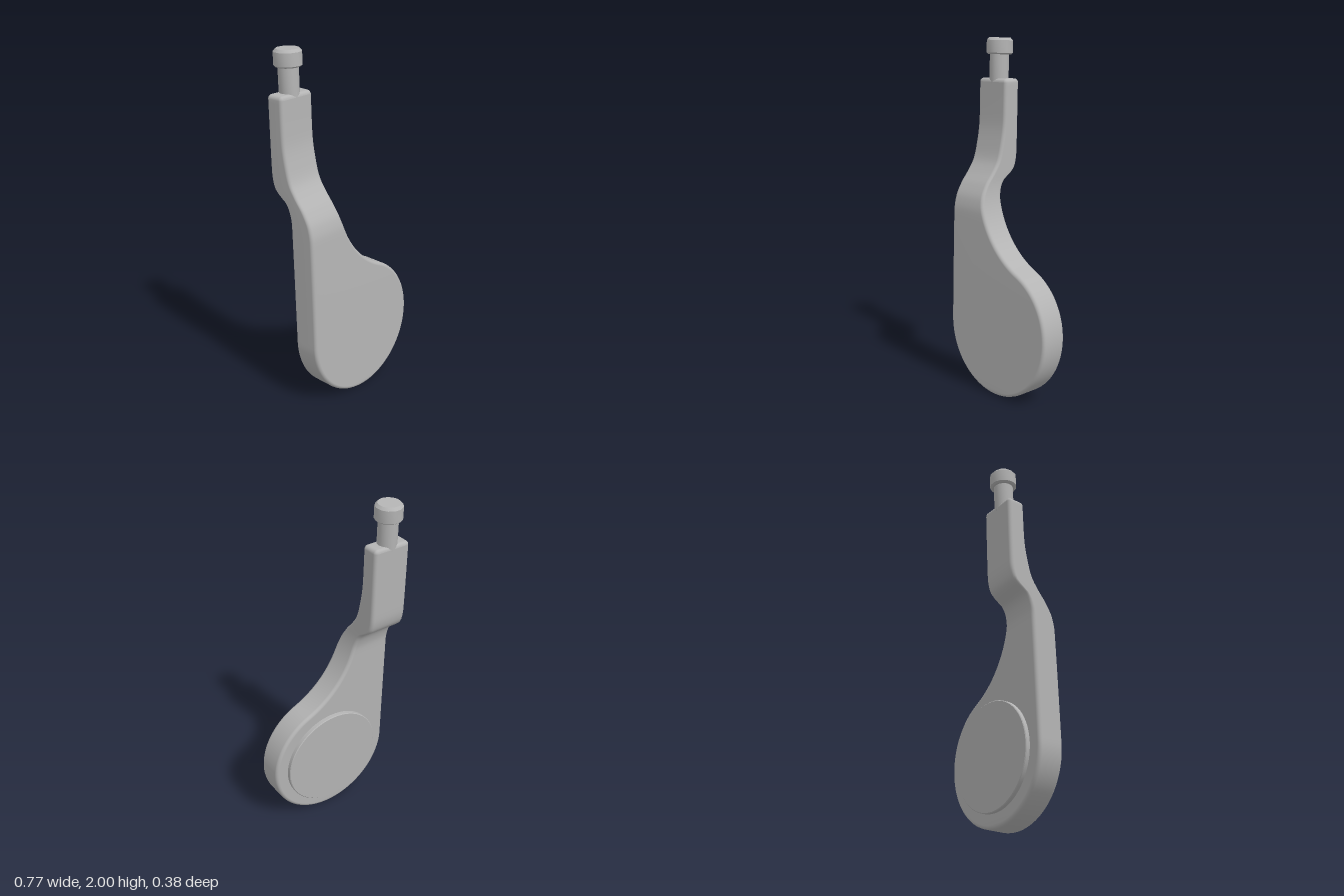
import * as THREE from 'three';
import { mergeVertices, toCreasedNormals } from 'three/addons/utils/BufferGeometryUtils.js';

const RAD = 0.383, CY = 0.384;          // round paddle end
const XL = -0.383, XR = -0.157, TOP = 1.77; // neck
const BEVEL = 0.02, TILT = -0.034;

// Smooth monotone curve through [y, z] points
function profile(pts) {
  const d = pts.slice(1).map((p, i) => (p[1] - pts[i][1]) / (p[0] - pts[i][0]));
  const m = pts.map((_, i) => {
    if (i === 0) return d[0];
    if (i === d.length) return d[i - 1];
    return d[i - 1] * d[i] <= 0 ? 0 : 2 * d[i - 1] * d[i] / (d[i - 1] + d[i]);
  });
  return (y) => {
    let i = 0;
    while (i < d.length - 1 && y > pts[i + 1][0]) i++;
    const h = pts[i + 1][0] - pts[i][0], t = (y - pts[i][0]) / h, t2 = t * t, t3 = t2 * t;
    return (2 * t3 - 3 * t2 + 1) * pts[i][1] + (t3 - 2 * t2 + t) * h * m[i]
      + (3 * t2 - 2 * t3) * pts[i + 1][1] + (t3 - t2) * h * m[i + 1];
  };
}
const frontZ = profile([[0, 0.191], [0.95, 0.16], [1.03, 0.156], [1.1, 0.141], [1.18, 0.097],
  [1.24, 0.048], [1.31, 0.003], [1.38, -0.018], [1.51, -0.042], [1.57, -0.046], [1.78, -0.053]]);
const backZ = profile([[0, 0.034], [1.0, 0], [1.09, -0.004], [1.155, -0.02], [1.2, -0.047],
  [1.235, -0.098], [1.27, -0.13], [1.34, -0.146], [1.4, -0.149], [1.78, -0.16]]);

// Paired left/right outline points: [x, y, normalX, normalY]
function outlineRows() {
  const rows = [];
  const filletY = 1.22, dy = filletY - CY;
  const fr = (XR * XR + dy * dy - RAD * RAD) / (2 * (RAD - XR));
  const fx = XR + fr, join = Math.atan2(dy, fx);
  const straight = (y) => [XL, y, -1, 0];
  for (let i = 0; i <= 28; i++) {             // bottom half circle
    const a = -Math.PI / 2 * (1 - i / 28), c = Math.cos(a), s = Math.sin(a);
    rows.push([[-RAD * c, CY + RAD * s, -c, s], [RAD * c, CY + RAD * s, c, s]]);
  }
  for (let i = 1; i <= 18; i++) {             // rest of the circle on the wide side
    const a = join * i / 18, c = Math.cos(a), s = Math.sin(a), y = CY + RAD * s;
    rows.push([straight(y), [RAD * c, y, c, s]]);
  }
  for (let i = 1; i <= 36; i++) {             // concave fillet up to the neck
    const a = join * (1 - i / 36), c = Math.cos(a), s = Math.sin(a), y = filletY - fr * s;
    rows.push([straight(y), [fx - fr * c, y, c, s]]);
  }
  const k = 0.022;
  for (let i = 1; i <= 28; i++) {             // straight neck
    const y = filletY + (TOP - k - filletY) * i / 28;
    rows.push([straight(y), [XR, y, 1, 0]]);
  }
  for (let i = 1; i <= 4; i++) {              // rounded top corners
    const a = Math.PI / 8 * i, c = Math.cos(a), s = Math.sin(a), y = TOP - k + k * s;
    rows.push([[XL + k - k * c, y, -c, s], [XR - k + k * c, y, c, s]]);
  }
  const mid = [(XL + XR) / 2, TOP, 0, 1];
  rows.push([mid, mid]);
  return rows;
}

// Loft the cranked arm from bevelled cross-sections
function armGeometry() {
  const rim = [];                             // [inset, depth, isBack]
  for (let i = 0; i <= 4; i++) {
    const a = Math.PI / 8 * i;
    rim.push([BEVEL * (1 - Math.sin(a)), BEVEL * (1 - Math.cos(a)), false]);
  }
  for (let i = 4; i >= 0; i--) rim.push([rim[i][0], rim[i][1], true]);
  const pos = [], idx = [], n = rim.length * 2, rows = outlineRows();
  const put = ([x, y, nx, ny], [inset, depth, back]) => {
    const py = y - ny * inset;
    pos.push(x - nx * inset, py, back ? backZ(py) + depth : frontZ(py) - depth);
  };
  rows.forEach(([l, r], i) => {
    rim.forEach((p) => put(r, p));
    [...rim].reverse().forEach((p) => put(l, p));
    if (i === 0) return;
    for (let j = 0; j < n; j++) {
      const a = (i - 1) * n + j, b = (i - 1) * n + (j + 1) % n;
      idx.push(a, b, b + n, a, b + n, a + n);
    }
  });
  let g = new THREE.BufferGeometry();
  g.setAttribute('position', new THREE.Float32BufferAttribute(pos, 3));
  g.setIndex(idx);
  g = mergeVertices(g, 1e-5);
  g.computeVertexNormals();
  return g;
}

function turned(points, sides) {
  const g = new THREE.LatheGeometry(points.map(([r, y]) => new THREE.Vector2(r, y)), sides);
  return toCreasedNormals(g, 0.6);
}

export function createModel() {
  const grey = new THREE.MeshStandardMaterial({ color: 0xb4b4b4 });
  grey.name = 'grey';
  const model = new THREE.Group();
  model.name = 'crankedPaddle';
  const add = (name, geometry, parent = model) => {
    const mesh = new THREE.Mesh(geometry, grey);
    mesh.name = name;
    parent.add(mesh);
    return mesh;
  };

  add('arm', armGeometry());

  // Raised round pad on the back
  const pad = add('backPad', turned([[0, -0.03], [0.305, -0.03], [0.305, 0.021], [0.301, 0.025], [0, 0.025]], 64));
  pad.position.set(0, CY, backZ(CY));
  pad.rotation.x = -Math.PI / 2 + TILT;

  // Pin with a chamfered head on top of the neck
  const pin = new THREE.Group();
  pin.name = 'pin';
  pin.position.set(-0.271, TOP, -0.107);
  pin.rotation.x = TILT;
  model.add(pin);
  add('pinShaft', turned([[0, -0.03], [0.055, -0.03], [0.055, 0.15], [0, 0.15]], 16), pin);
  add('pinHead', turned([[0, 0.134], [0.066, 0.134], [0.076, 0.142], [0.076, 0.213], [0.062, 0.228], [0, 0.228]], 13), pin);
  return model;
}
